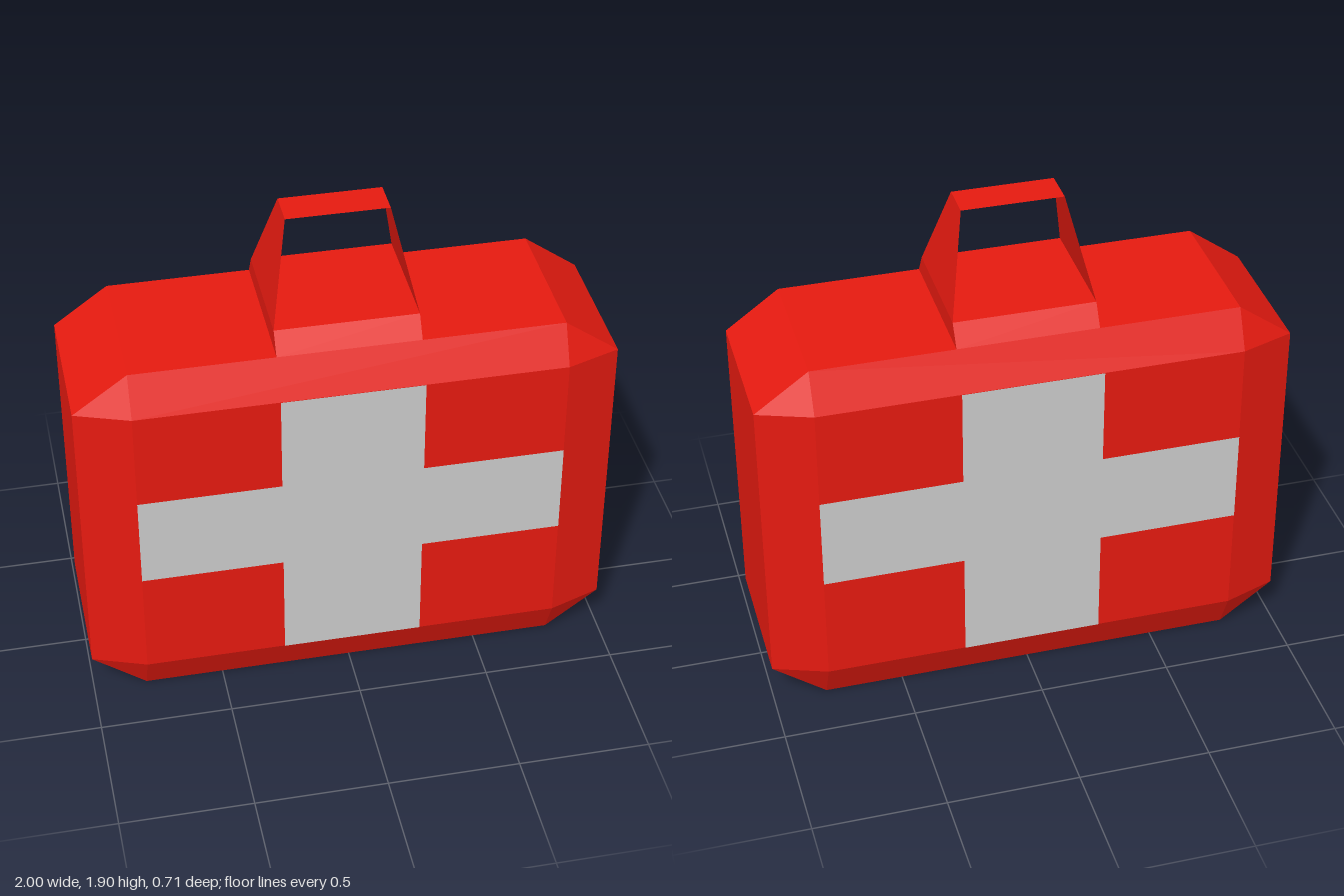
import * as THREE from 'three';
import { ConvexGeometry } from 'three/addons/geometries/ConvexGeometry.js';

const red = new THREE.MeshStandardMaterial({ color: 0xe61a10, flatShading: true });
const redSheet = new THREE.MeshStandardMaterial({ color: 0xe61a10, flatShading: true, side: THREE.DoubleSide });
const grey = new THREE.MeshStandardMaterial({ color: 0xcccccc });

// Corners of a rectangle mirrored in x and z at each listed height
const corners = (x, z, ...heights) => heights.flatMap((y) =>
  [[-x, -z], [x, -z], [x, z], [-x, z]].map(([px, pz]) => new THREE.Vector3(px, y, pz)));

function add(group, name, geometry, material) {
  const mesh = new THREE.Mesh(geometry, material);
  mesh.name = name;
  group.add(mesh);
  return mesh;
}

export function createModel() {
  const group = new THREE.Group();
  group.name = 'firstAidCase';

  // Case with every edge chamfered: hull of three crossing boxes
  add(group, 'caseBody', new ConvexGeometry([
    ...corners(1, 0.283, 0.153, 1.32),
    ...corners(0.797, 0.355, 0.153, 1.32),
    ...corners(0.797, 0.283, 0, 1.467),
  ]), red);

  // Raised block carrying the handle
  add(group, 'handleBase', new ConvexGeometry([
    ...corners(0.265, 0.283, 1.467),
    ...corners(0.265, 0.232, 1.547),
  ]), red);

  // Handle: a thin strip narrowing upward, x / y / half-depth per section
  const sections = [[-0.265, 1.547, 0.232], [-0.19, 1.9, 0.07], [0.19, 1.9, 0.07], [0.265, 1.547, 0.232]];
  const strip = new THREE.BufferGeometry();
  strip.setAttribute('position', new THREE.Float32BufferAttribute(
    sections.flatMap(([x, y, z]) => [x, y, z, x, y, -z]), 3));
  const index = [];
  for (let i = 0; i < sections.length - 1; i++) {
    const a = i * 2;
    index.push(a, a + 2, a + 1, a + 1, a + 2, a + 3);
  }
  strip.setIndex(index);
  const handle = strip.toNonIndexed();
  handle.computeVertexNormals();
  add(group, 'handle', handle, redSheet);

  // Flat cross on the front and the back
  const w = 0.265, l = 0.797, bottom = 0.153, low = 0.575, high = 0.94, top = 1.32;
  const cross = new THREE.ShapeGeometry(new THREE.Shape([
    [-w, bottom], [w, bottom], [w, low], [l, low], [l, high], [w, high],
    [w, top], [-w, top], [-w, high], [-l, high], [-l, low], [-w, low],
  ].map(([x, y]) => new THREE.Vector2(x, y))));
  for (const side of [1, -1]) {
    const mesh = add(group, side > 0 ? 'frontCross' : 'backCross', cross, grey);
    mesh.position.z = side * 0.357;
    if (side < 0) mesh.rotation.y = Math.PI;
  }
  return group;
}
